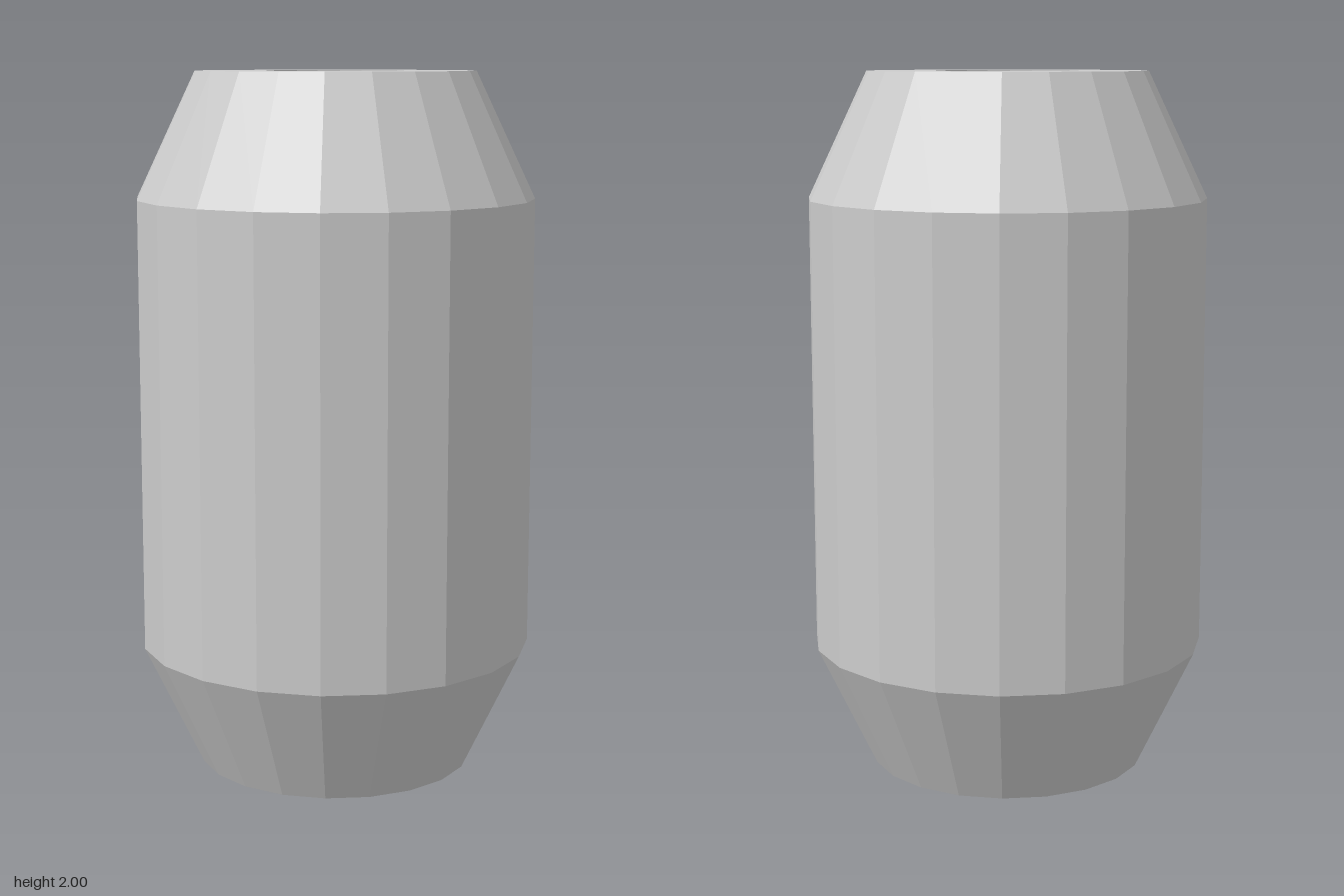
import * as THREE from 'three';

const SIDES = 20;

// Faceted surface of revolution with a flat side facing each axis
function turned(name, points, material) {
  const geometry = new THREE.LatheGeometry(
    points.map(([r, y]) => new THREE.Vector2(r, y)), SIDES, Math.PI / SIDES);
  const mesh = new THREE.Mesh(geometry, material);
  mesh.name = name;
  return mesh;
}

export function createModel() {
  const group = new THREE.Group();
  group.name = 'taperedBarrel';
  const material = new THREE.MeshStandardMaterial({ color: 0xcccccc, flatShading: true });

  const body = 0.566, end = 0.397, bore = 0.208;
  const bottomDepth = 0.3, topDepth = 0.18;

  // Outer shell: straight barrel between two tapered ends, with flat end rings
  group.add(turned('barrelShell', [
    [bore, 0], [end, 0], [body, 0.355], [body, 1.645], [end, 2], [bore, 2],
  ], material));

  // Blind round recess in each end
  group.add(turned('topRecess', [[bore, 2], [bore, 2 - topDepth], [0, 2 - topDepth]], material));
  group.add(turned('bottomRecess', [[0, bottomDepth], [bore, bottomDepth], [bore, 0]], material));

  return group;
}
